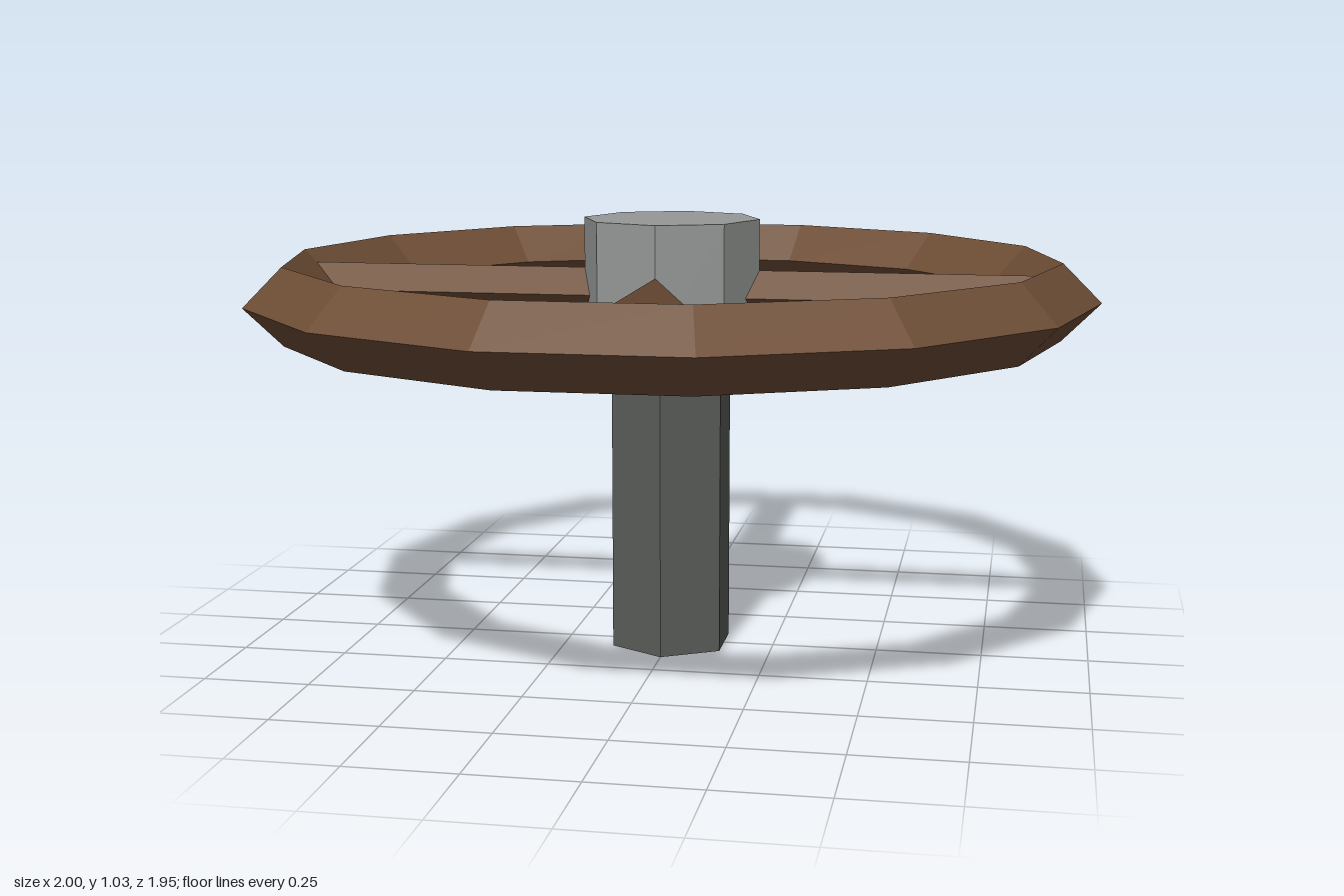
import * as THREE from 'three';

export function createModel() {
  const group = new THREE.Group();
  const material = (name, color) => {
    const m = new THREE.MeshStandardMaterial({ color, flatShading: true });
    m.name = name;
    return m;
  };
  const wood = material('brown wood', 0x6e4e36);
  const steel = material('light grey metal', 0x959896);
  const iron = material('dark grey metal', 0x5a5d59);

  const add = (name, geometry, mat, y) => {
    const mesh = new THREE.Mesh(geometry, mat);
    mesh.name = name;
    mesh.position.y = y;
    group.add(mesh);
    return mesh;
  };
  const wheelY = 0.85;

  // Six-sided post and eight-sided hub
  add('shaft', new THREE.CylinderGeometry(0.15, 0.15, 0.75, 6), iron, 0.375);
  add('hub', new THREE.CylinderGeometry(0.21, 0.21, 0.3, 8), steel, 0.88);

  // Fourteen-sided rim with a diamond section
  add('rim', new THREE.TorusGeometry(0.91, 0.09, 4, 14).rotateX(Math.PI / 2), wood, wheelY);

  // Four diamond-section spokes, running from inside the hub into the rim
  for (let i = 0; i < 4; i++) {
    const spoke = new THREE.CylinderGeometry(0.06, 0.06, 0.8, 4);
    spoke.rotateZ(-Math.PI / 2).translate(0.49, 0, 0);
    add('spoke', spoke, wood, wheelY).rotation.y = (i * Math.PI) / 2;
  }
  return group;
}
